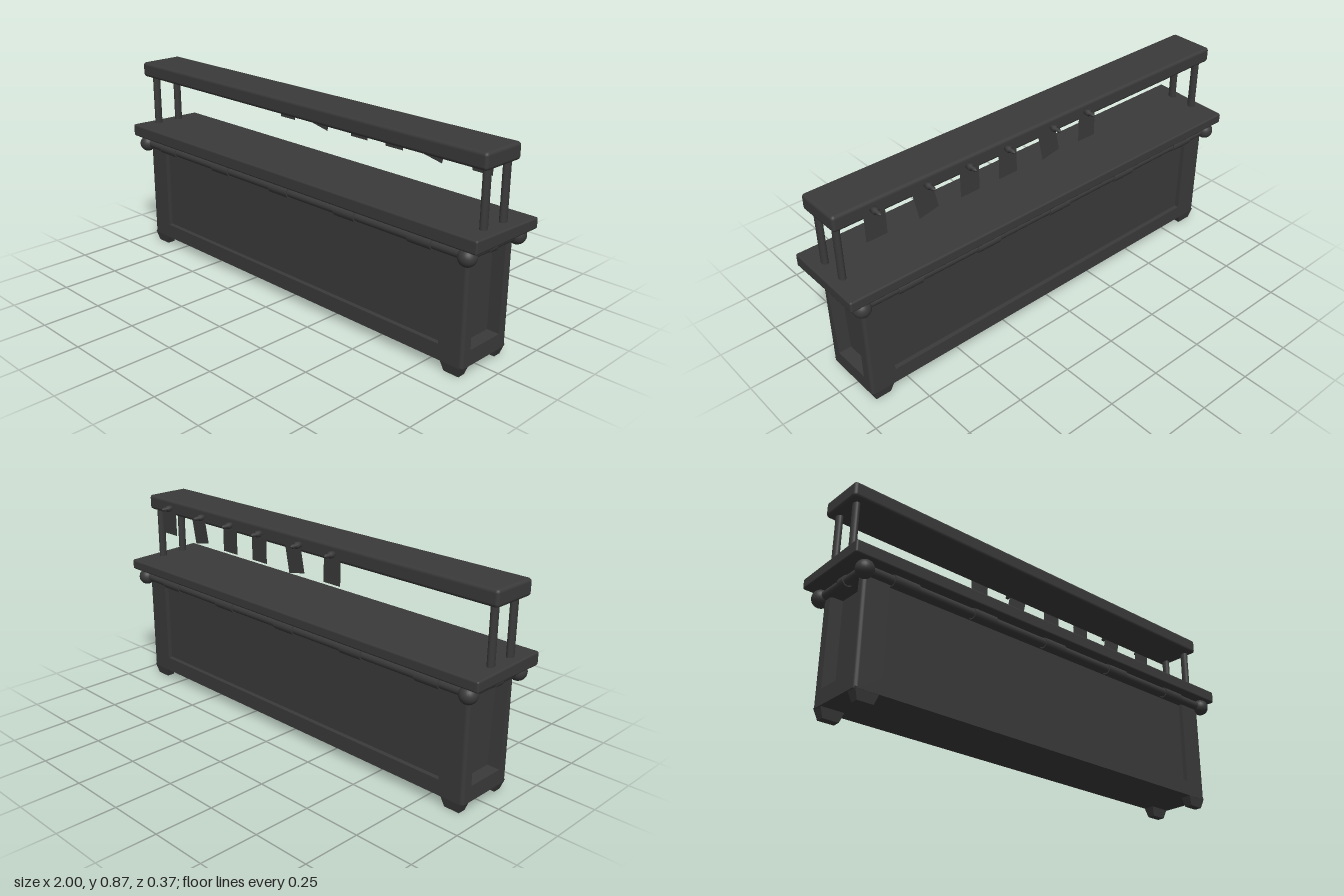
import * as THREE from 'three';
import { RoundedBoxGeometry } from 'three/addons/geometries/RoundedBoxGeometry.js';

export function createModel() {
  const group = new THREE.Group();
  const mat = new THREE.MeshStandardMaterial({ color: 0x3a3a3a });
  const thin = new THREE.MeshStandardMaterial({ color: 0x3a3a3a, side: THREE.DoubleSide });

  function add(name, geo, x = 0, y = 0, z = 0, material = mat) {
    const m = new THREE.Mesh(geo, material);
    m.name = name;
    m.position.set(x, y, z);
    group.add(m);
    return m;
  }
  const outline = (pts) => pts.map(([x, y]) => new THREE.Vector2(x, y));

  // Flat frame with a panel opening, extruded towards +z
  function frame(halfWidth, hole, depth) {
    const s = new THREE.Shape(outline([
      [-halfWidth, 0.04], [halfWidth, 0.04], [halfWidth, 0.525], [-halfWidth, 0.525]]));
    s.holes.push(new THREE.Path(outline(hole)));
    return new THREE.ExtrudeGeometry(s, { depth, bevelEnabled: false });
  }

  // Body: recessed core, framed panels and rounded corner edges
  const X = 0.933, Z = 0.135, R = 0.015;
  add('bodyCore', new THREE.BoxGeometry(1.756, 0.485, 0.23), 0, 0.2825, 0);
  const longFrame = frame(X - R, [[-0.82, 0.105], [-0.82, 0.48], [0.82, 0.48], [0.82, 0.105]], 0.02);
  const ends = {
    1: [[-0.087, 0.105], [-0.106, 0.48], [0.087, 0.48], [0.087, 0.105]],
    '-1': [[-0.087, 0.105], [-0.087, 0.48], [0.106, 0.48], [0.087, 0.105]],
  };
  for (const s of [1, -1]) {
    const face = add(s > 0 ? 'frontFrame' : 'backFrame', longFrame, 0, 0, s * (Z - 0.02));
    if (s < 0) face.rotation.y = Math.PI;
    const end = add(s > 0 ? 'leftEndFrame' : 'rightEndFrame', frame(Z - R, ends[s], 0.055), s * (X - 0.055));
    end.rotation.y = s * Math.PI / 2;
  }

  // Tapered foot, square in plan with its outer side steeper
  const foot = new THREE.CylinderGeometry(Math.SQRT1_2, Math.SQRT1_2 * 0.68, 0.045, 4).toNonIndexed();
  foot.rotateY(Math.PI / 4);
  foot.scale(0.1, 1, 0.05);
  foot.computeVertexNormals();

  // Corners: edge, foot, knob and shelf post
  for (const sx of [1, -1]) for (const sz of [1, -1]) {
    add('cornerEdge', new THREE.CylinderGeometry(R, R, 0.485, 16), sx * (X - R), 0.2825, sz * (Z - R));
    add('foot', foot, sx * 0.88, 0.0225, sz * 0.11);
    add('cornerKnob', new THREE.SphereGeometry(0.036, 24, 16), sx * 0.938, 0.491, sz * 0.148);
    const post = add('shelfPost', new THREE.CylinderGeometry(0.018, 0.018, 0.25, 16),
      sx > 0 ? 0.943 : -0.951, 0.69, sz > 0 ? 0.071 : -0.045);
    post.scale.x = 0.75;
  }

  // Rails with collars below the counter
  function rod(name, r, len, x, z, alongX) {
    const m = add(name, new THREE.CylinderGeometry(r, r, len, 16), x, 0.494, z);
    if (alongX) m.rotation.z = Math.PI / 2;
    else m.rotation.x = Math.PI / 2;
  }
  for (const s of [1, -1]) {
    rod('longRail', 0.019, 1.87, 0, s * 0.143, true);
    rod('endRail', 0.019, 0.29, s * 0.935, 0, false);
    for (let i = -2; i <= 2; i++) rod('longRailCollar', 0.024, 0.11, -0.015 + i * 0.373, s * 0.143, true);
    rod('endRailCollar', 0.024, 0.036, s * 0.935, 0.014, false);
  }

  // Counter top, slightly higher at the front
  const top = new RoundedBoxGeometry(2, 0.05, 0.365, 2, 0.008);
  const p = top.attributes.position;
  for (let i = 0; i < p.count; i++) {
    if (p.getY(i) > 0) p.setY(i, p.getY(i) + p.getZ(i) * 0.028);
  }
  add('counterTop', top, 0, 0.548, 0);

  // Upper shelf
  add('upperShelf', new RoundedBoxGeometry(1.962, 0.067, 0.203, 2, 0.014), -0.008, 0.834, 0.0165);

  // Pegs on the back of the shelf, each with a hanging tag
  const pegGeo = new THREE.LatheGeometry(outline([
    [0, 0], [0.014, 0], [0.014, 0.02], [0.008, 0.026], [0.009, 0.04], [0.003, 0.049], [0, 0.05]]), 12);
  pegGeo.rotateX(-Math.PI / 2);
  const hangers = [[-0.222, -0.222, 0], [-0.035, -0.013, -0.2], [0.2, 0.2, 0],
    [0.387, 0.387, 0], [0.578, 0.592, -0.2], [0.81, 0.81, 0]];
  for (const [pegX, tagX, tilt] of hangers) {
    add('peg', pegGeo, pegX, 0.831, -0.085);
    add('tag', new THREE.PlaneGeometry(0.09, 0.12), tagX, 0.77, -0.091, thin).rotation.z = tilt;
  }
  return group;
}
